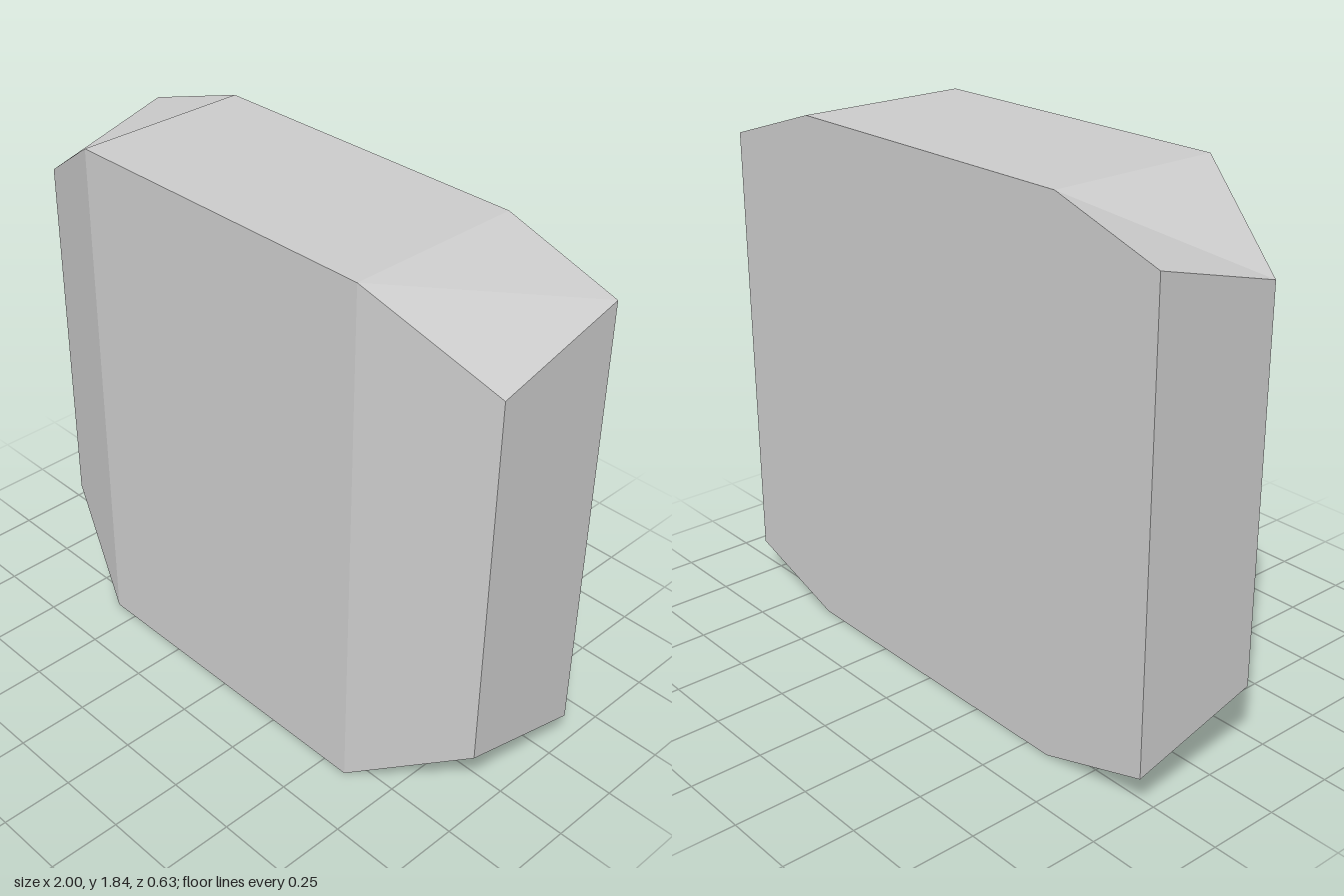
import * as THREE from 'three';

const HEIGHT = 1.84, BACK = -0.313;

// Four-cornered cross-section at x, counter-clockwise seen from +x
function section(x, frontZ, frontInset, backInset) {
  return [
    [x, frontInset, frontZ],
    [x, backInset, BACK],
    [x, HEIGHT - backInset, BACK],
    [x, HEIGHT - frontInset, frontZ],
  ];
}

export function createModel() {
  const group = new THREE.Group();
  group.name = 'bevelledSlab';

  // Full-depth middle, tapering to shallower and shorter ends
  const sections = [
    section(-1, 0.155, 0.257, 0.13),
    section(-0.593, 0.313, 0, 0),
    section(0.593, 0.313, 0, 0),
    section(1, 0.155, 0.257, 0.13),
  ];

  const positions = [];
  const quad = (a, b, c, d) => {
    for (const p of [a, b, d, b, c, d]) positions.push(...p);
  };

  // Skin between neighbouring sections
  for (let s = 0; s < sections.length - 1; s++) {
    const near = sections[s], far = sections[s + 1];
    for (let k = 0; k < 4; k++) {
      const n = (k + 1) % 4;
      quad(near[k], near[n], far[n], far[k]);
    }
  }

  // End caps
  quad(...sections[sections.length - 1]);
  quad(...[...sections[0]].reverse());

  const geometry = new THREE.BufferGeometry();
  geometry.setAttribute('position', new THREE.Float32BufferAttribute(positions, 3));
  geometry.computeVertexNormals();

  const slab = new THREE.Mesh(
    geometry,
    new THREE.MeshStandardMaterial({ color: 0xcccccc, flatShading: true })
  );
  slab.name = 'slab';
  group.add(slab);
  return group;
}
